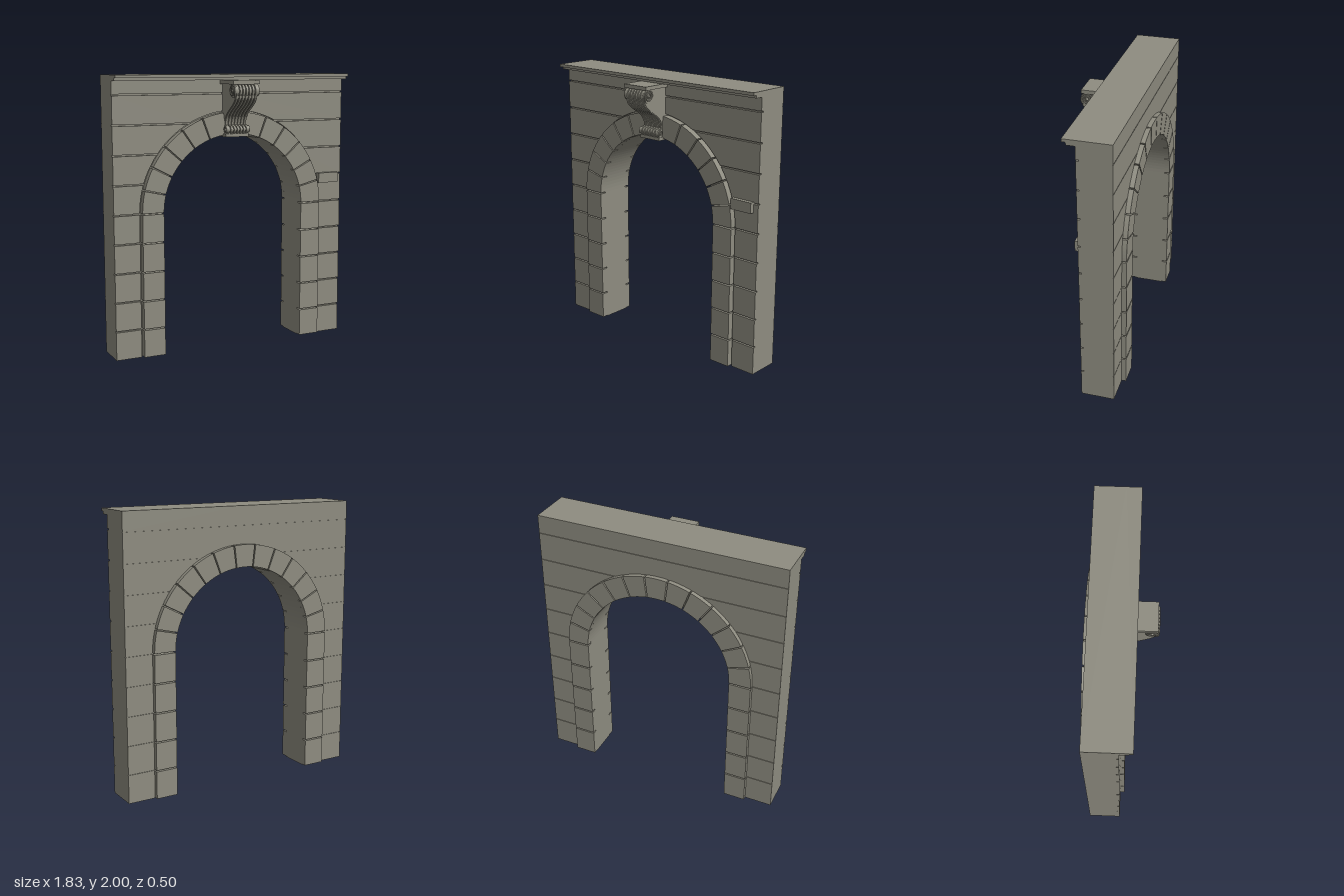
import * as THREE from 'three';

const HALF = 0.913, CY = 1.037, K = 0.977, PITCH = 0.2072, GAP = 0.005;
const R_IN = 0.553, R_OUT = 0.713, R_WALL = 0.724;
const Z_FACE = 0.02, Z_CORE = 0, Z_BACK = -0.212, Z_BACKFACE = -0.217;

// Point on the slightly flattened arch
const arc = (r, a) => new THREE.Vector2(r * Math.cos(a), CY + K * r * Math.sin(a));

export function createModel() {
  const model = new THREE.Group();
  model.name = 'archway';
  const stone = new THREE.MeshStandardMaterial({ color: 0x8e8c80 });
  stone.name = 'grey stone';

  const add = (name, geometry) => {
    const mesh = new THREE.Mesh(geometry, stone);
    mesh.name = name;
    model.add(mesh);
    return mesh;
  };
  // Box given by its limits
  const box = (name, x0, x1, y0, y1, z0, z1) => {
    const g = new THREE.BoxGeometry(x1 - x0, y1 - y0, z1 - z0);
    g.translate((x0 + x1) / 2, (y0 + y1) / 2, (z0 + z1) / 2);
    return add(name, g);
  };
  // Outline in x, y extruded between two z values
  const slab = (name, points, z0, z1) => {
    const g = new THREE.ExtrudeGeometry(new THREE.Shape(points), { depth: z1 - z0, bevelEnabled: false });
    g.translate(0, 0, z0);
    return add(name, g);
  };
  // Outline in z, y extruded along x between two x values
  const sideSlab = (name, shape, x0, x1) => {
    const g = new THREE.ExtrudeGeometry(shape, { depth: x1 - x0, bevelEnabled: false, curveSegments: 20 });
    g.rotateY(-Math.PI / 2);
    g.translate(x1, 0, 0);
    return add(name, g);
  };

  // Wall core with the arched opening
  const core = [new THREE.Vector2(-HALF, 0), new THREE.Vector2(-R_IN, 0)];
  for (let i = 0; i <= 64; i++) core.push(arc(R_IN, Math.PI * (1 - i / 64)));
  core.push(new THREE.Vector2(R_IN, 0), new THREE.Vector2(HALF, 0),
    new THREE.Vector2(HALF, 2), new THREE.Vector2(-HALF, 2));
  slab('wallCore', core, Z_BACK, Z_CORE);

  // Courses of facing stone, cut back around the arch
  const course = (name, y0, y1, r, z0, z1) => {
    const angle = y => Math.asin(THREE.MathUtils.clamp((y - CY) / (K * r), 0, 1));
    for (const s of [-1, 1]) {
      const pts = [[HALF, y1], [HALF, y0]];
      if (y0 >= CY + K * r) pts.push([0, y0]);
      else {
        if (y0 < CY) pts.push([r, y0]);
        if (y1 > CY) {
          const a0 = angle(y0), a1 = angle(y1);
          for (let i = 0; i <= 20; i++) {
            const p = arc(r, a0 + (a1 - a0) * i / 20);
            pts.push([Math.max(0, p.x), p.y]);
          }
        }
      }
      if (y1 > CY + K * r) pts.push([0, y1]);
      else if (y1 <= CY) pts.push([r, y1]);
      slab(name, pts.map(([x, y]) => new THREE.Vector2(s * x, y)), z0, z1);
    }
  };
  for (let i = 0; i < 10; i++) {
    const y0 = i * PITCH + (i ? GAP : 0), y1 = (i + 1) * PITCH - GAP;
    course('frontCourse', y0, i === 9 ? 1.96 : y1, R_WALL, Z_CORE, Z_FACE);
    course('backCourse', y0 - (i ? 0.003 : 0), i === 9 ? 2 : y1 + 0.003, R_OUT, Z_BACKFACE, Z_BACK);
  }

  // Raised jamb blocks and arch stones, front and back
  for (const [side, z0, z1] of [['front', Z_CORE, 0.05], ['back', -0.25, Z_BACK]]) {
    for (let i = 0; i < 5; i++)
      for (const s of [-1, 1]) {
        const a = s * R_IN, b = s * R_OUT;
        box(side + 'JambBlock', Math.min(a, b), Math.max(a, b),
          i * PITCH + GAP, (i + 1) * PITCH - GAP, z0, z1);
      }
    const step = Math.PI / 13;
    for (let i = 0; i < 13; i++) {
      const a0 = i * step + 0.007, a1 = (i + 1) * step - 0.007, pts = [];
      for (let j = 0; j <= 6; j++) pts.push(arc(R_OUT, a0 + (a1 - a0) * j / 6));
      for (let j = 6; j >= 0; j--) pts.push(arc(R_IN, a0 + (a1 - a0) * j / 6));
      slab(side + 'ArchStone', pts, z0, z1);
    }
  }

  // Stepped cornice and small wall plate
  box('corniceTop', -HALF, HALF, 1.979, 2, Z_CORE, 0.107);
  box('corniceStep', -HALF, HALF, 1.96, 1.979, Z_CORE, 0.08);
  box('wallPlate', 0.705, 0.875, 1.18, 1.255, Z_CORE, 0.053);

  // Scrolled keystone: S-shaped side outline, d shrinks it for the flutes
  const scroll = d => {
    const s = new THREE.Shape();
    s.moveTo(0, 1.575);
    s.lineTo(0.085, 1.58);
    s.absarc(0.08, 1.61, 0.026 - d, -1.2, 1.6, false);
    s.lineTo(0.06 - d, 1.642);
    s.bezierCurveTo(0.07 - d, 1.75, 0.19 - d, 1.755, 0.235 - d, 1.835);
    s.absarc(0.2, 1.885, 0.05 - d, -0.7, 1.4, false);
    s.lineTo(0.2, 1.935);
    s.lineTo(0, 1.935);
    s.closePath();
    return s;
  };
  sideSlab('scrollBody', scroll(0.009), -0.085, 0.085);
  const ribs = 7, ribPitch = 0.17 / ribs;
  for (let i = 0; i < ribs; i++) {
    const x = -0.085 + (i + 0.5) * ribPitch;
    sideSlab('scrollRib', scroll(0), x - 0.0085, x + 0.0085);
  }
  box('scrollCap', -0.103, 0.103, 1.932, 1.958, Z_CORE, 0.238);
  box('scrollFoot', -0.09, 0.09, 1.557, 1.58, Z_CORE, 0.09);

  // Volutes on both cheeks of the scroll
  for (const [z, y, r] of [[0.2, 1.888, 0.05], [0.08, 1.61, 0.026]])
    for (const s of [-1, 1]) {
      const disc = new THREE.CylinderGeometry(r * 0.95, r * 0.95, 0.012, 32);
      disc.rotateZ(Math.PI / 2);
      disc.translate(s * 0.085, y, z);
      add('voluteDisc', disc);
      const pts = [];
      for (let i = 0; i <= 40; i++) {
        const t = i / 40, a = -0.8 + t * Math.PI * 4.5, q = r * (0.9 - 0.75 * t);
        pts.push(new THREE.Vector3(s * 0.093, y + q * Math.sin(a), z + q * Math.cos(a)));
      }
      add('voluteSpiral', new THREE.TubeGeometry(new THREE.CatmullRomCurve3(pts), 80, r * 0.1, 6));
      const eye = new THREE.SphereGeometry(r * 0.2, 12, 8);
      eye.translate(s * 0.092, y, z);
      add('voluteEye', eye);
    }
  return model;
}
